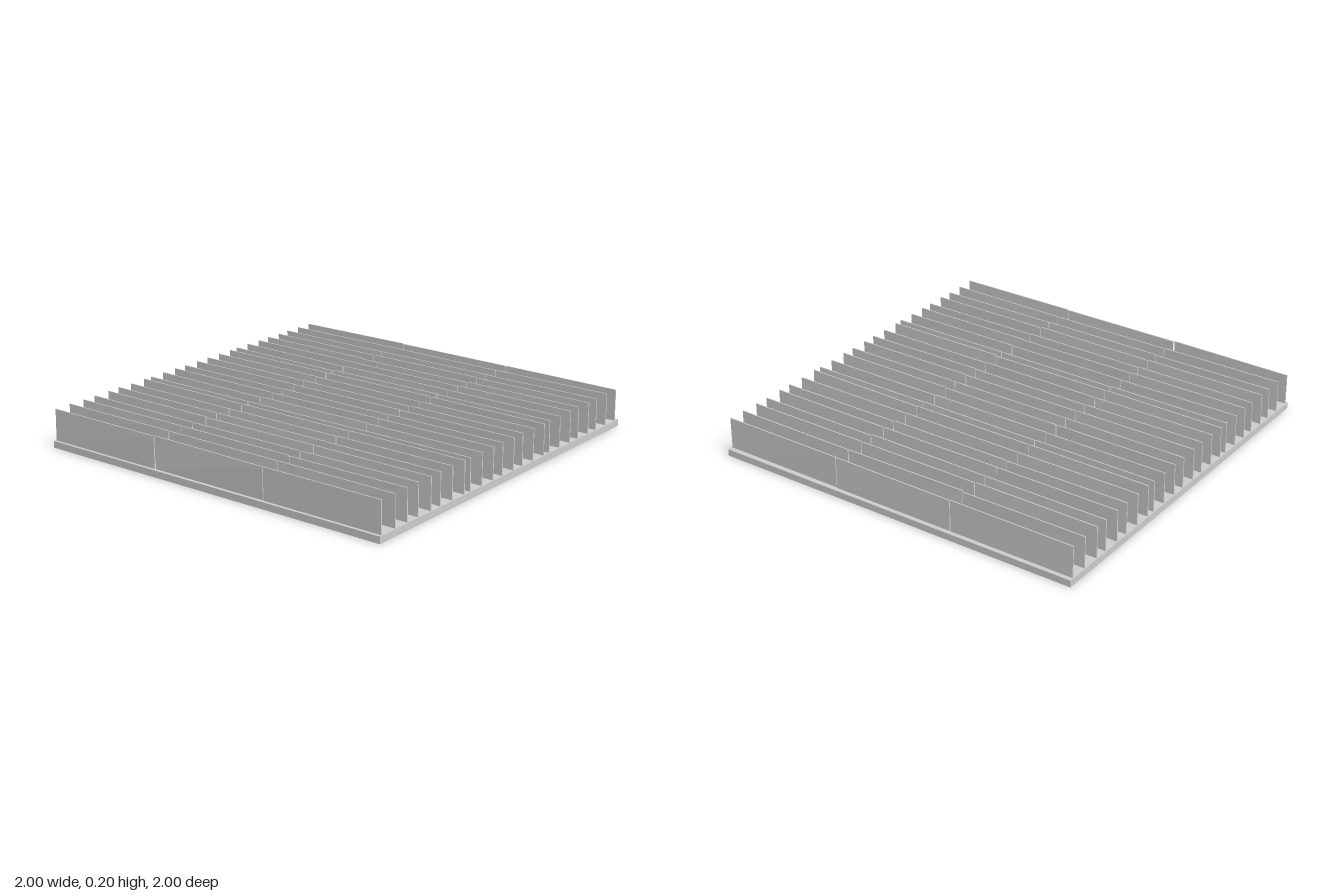
import * as THREE from 'three';

export function createModel() {
  const group = new THREE.Group();
  const material = new THREE.MeshStandardMaterial({ color: 0xcccccc, flatShading: true });

  // Square base plate
  const baseHeight = 0.035;
  const base = new THREE.Mesh(new THREE.BoxGeometry(2, baseHeight, 2), material);
  base.name = 'basePlate';
  base.position.y = baseHeight / 2;
  group.add(base);

  // Small seeded generator for the slight unevenness of the fins, -1 to 1
  let seed = 7;
  const jitter = () => {
    seed = (seed * 16807) % 2147483647;
    return (seed / 2147483647) * 2 - 1;
  };

  // One thin upright fin whose top edge leans and dips a little
  const finHeight = 0.162, finLength = 0.66, finWidth = 0.006;
  function makeFin(x, z) {
    const geometry = new THREE.BoxGeometry(finWidth, finHeight, finLength);
    geometry.translate(0, finHeight / 2, 0);
    const p = geometry.attributes.position;
    const lean = [jitter() * 0.003, jitter() * 0.003];
    const dip = [jitter() * 0.002, jitter() * 0.002];
    for (let i = 0; i < p.count; i++) {
      if (p.getY(i) < finHeight / 2) continue;
      const end = p.getZ(i) > 0 ? 1 : 0;
      p.setX(i, p.getX(i) + lean[end]);
      p.setY(i, p.getY(i) + dip[end]);
    }
    geometry.computeVertexNormals();
    const fin = new THREE.Mesh(geometry, material);
    fin.name = 'fin';
    fin.position.set(x, baseHeight, z);
    return fin;
  }

  // Unevenly spaced fins, in three rows end to end
  const finX = [
    -0.98, -0.884, -0.793, -0.718, -0.622, -0.547, -0.456, -0.362,
    -0.313, -0.221, -0.13, -0.052, 0.041, 0.12, 0.212, 0.304,
    0.353, 0.447, 0.539, 0.614, 0.71, 0.785, 0.88, 0.973,
  ];
  for (const [name, z] of [['backFins', -0.665], ['middleFins', 0], ['frontFins', 0.665]]) {
    const row = new THREE.Group();
    row.name = name;
    for (const x of finX) row.add(makeFin(x + jitter() * 0.002, z));
    group.add(row);
  }
  return group;
}
